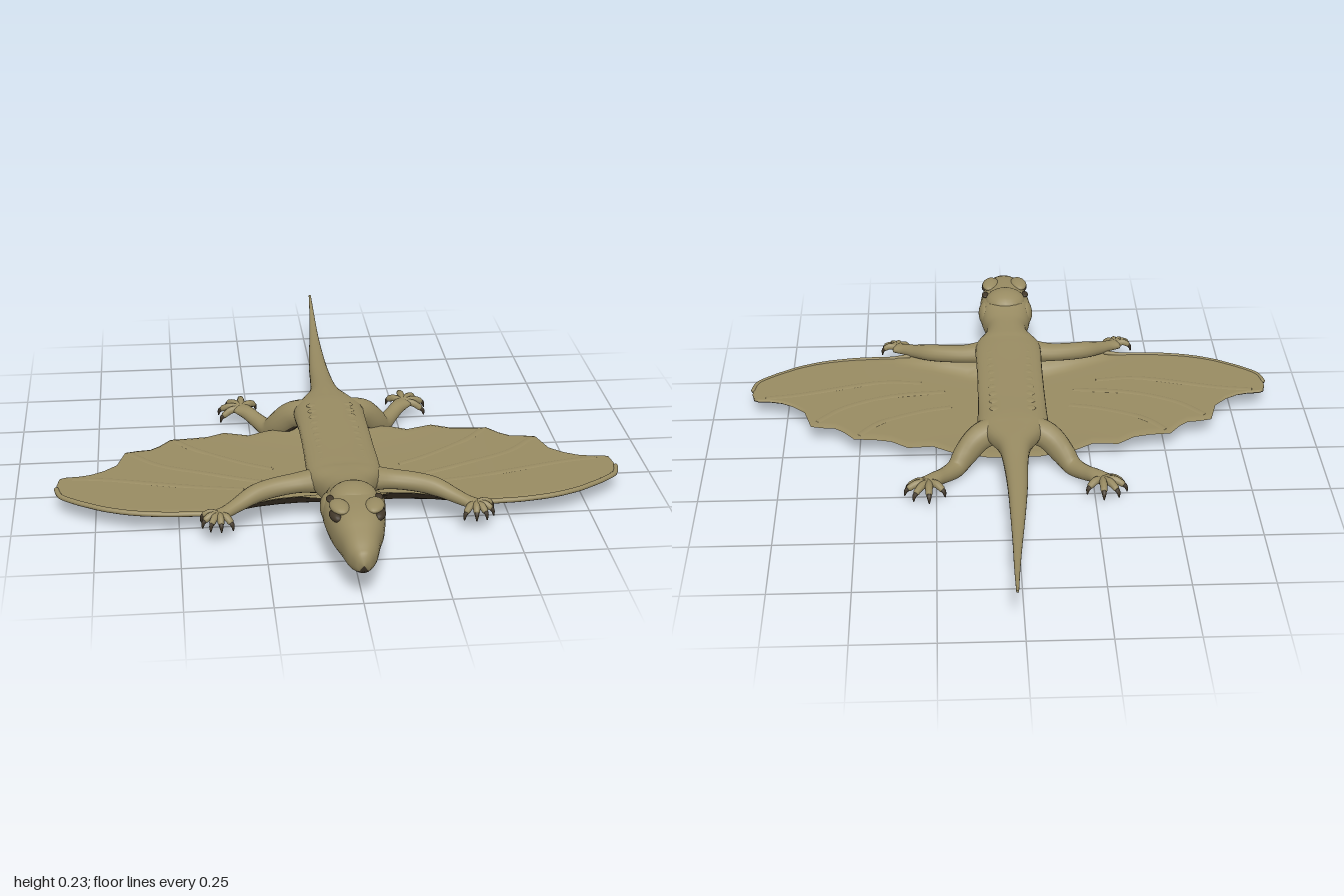
import * as THREE from 'three';

const skin = new THREE.MeshStandardMaterial({ color: 0x988b62 });
skin.name = 'olive skin';
const dark = new THREE.MeshStandardMaterial({ color: 0x42382a });
dark.name = 'dark brown underside';

// Geometry with two material groups: upper skin and dark underside
function build(pos, upper, under) {
  const g = new THREE.BufferGeometry();
  g.setAttribute('position', new THREE.Float32BufferAttribute(pos, 3));
  g.setIndex([...upper, ...under]);
  g.addGroup(0, upper.length, 0);
  g.addGroup(upper.length, under.length, 1);
  g.computeVertexNormals();
  return g;
}

// Smooth tube through sections [x, y, z, halfWidth, halfHeight]; power < 1 makes it boxier
function loft(sections, { steps = 4, sides = 16, power = 1 } = {}) {
  const first = sections[0], last = sections[sections.length - 1];
  const centre = new THREE.CatmullRomCurve3(sections.map(s => new THREE.Vector3(s[0], s[1], s[2])), false, 'catmullrom');
  const radius = new THREE.CatmullRomCurve3(sections.map(s => new THREE.Vector3(s[3], s[4], 0)), false, 'catmullrom');
  const n = (sections.length - 1) * steps;
  const pos = [], upper = [], under = [], up = new THREE.Vector3(0, 1, 0);
  const soft = v => Math.sign(v) * Math.pow(Math.abs(v), power);
  const ring = (c, t, rx, ry) => {
    const side = new THREE.Vector3().crossVectors(t, up).normalize();
    const top = new THREE.Vector3().crossVectors(side, t);
    for (let j = 0; j < sides; j++) {
      const a = j / sides * Math.PI * 2;
      const p = c.clone().addScaledVector(side, rx * soft(Math.cos(a))).addScaledVector(top, ry * soft(Math.sin(a)));
      pos.push(p.x, p.y, p.z);
    }
  };
  // rounded ends
  const cap = (u, s, dir) => [0, 0.7].map(k => {
    const t = centre.getTangent(u);
    return [centre.getPoint(u).addScaledVector(t, dir * Math.min(s[3], s[4]) * (k ? 0.35 : 0.55)), t, s[3] * k, s[4] * k];
  });
  cap(0, first, -1).forEach(r => ring(...r));
  for (let i = 0; i <= n; i++) {
    const r = radius.getPoint(i / n);
    ring(centre.getPoint(i / n), centre.getTangent(i / n), Math.max(r.x, 0.001), Math.max(r.y, 0.001));
  }
  cap(1, last, 1).reverse().forEach(r => ring(...r));
  for (let i = 0; i < n + 4; i++) for (let j = 0; j < sides; j++) {
    const a = i * sides + j, b = i * sides + (j + 1) % sides;
    const list = Math.sin((j + 0.5) / sides * Math.PI * 2) < -0.72 ? under : upper;
    list.push(a, a + sides, b, b, a + sides, b + sides);
  }
  return build(pos, upper, under);
}

// Wing membrane height: flat outside, sagging to a shallow keel, rising to the arms in front
function wingY(x, z) {
  const ax = Math.abs(x);
  const sag = Math.max(0, 1 - ax / 0.42) * Math.max(0, 1 - Math.pow(Math.abs(z - 0.24) / 0.42, 4));
  const armZ = 0.445 + 0.08 * Math.pow(ax / 0.33, 2);
  const rise = Math.max(0, 1 - Math.pow(ax / 0.42, 4)) * THREE.MathUtils.smoothstep(z, armZ - 0.03, armZ + 0.035);
  return 0.073 - 0.036 * sag + 0.042 * rise;
}

// [x, trailing z, leading z] of one wing
const WING = [
  [0, -0.09, 0.5], [0.08, -0.1, 0.5], [0.14, -0.085, 0.49], [0.2, -0.07, 0.505], [0.26, -0.035, 0.522], [0.34, -0.05, 0.54],
  [0.395, -0.015, 0.543], [0.45, -0.005, 0.54], [0.515, 0, 0.537], [0.55, 0.045, 0.533], [0.58, 0.07, 0.528], [0.62, 0.075, 0.52],
  [0.66, 0.085, 0.508], [0.685, 0.175, 0.498], [0.725, 0.215, 0.48], [0.765, 0.24, 0.455], [0.8, 0.25, 0.432],
  [0.845, 0.255, 0.395], [0.86, 0.265, 0.37], [0.868, 0.3, 0.335],
];

function wingGeometry() {
  const cols = [...WING.slice(1).reverse().map(([x, t, l]) => [-x, t, l]), ...WING];
  const rows = 32, w = rows + 1, pos = [], upper = [], under = [];
  for (const face of [1, -1]) {
    const base = pos.length / 3;
    cols.forEach(([x, t, l], k) => {
      for (let r = 0; r <= rows; r++) {
        const z = t + (l - t) * r / rows;
        const edge = r === 0 || r === rows || k === 0 || k === cols.length - 1;
        pos.push(x, wingY(x, z) + (edge ? 0 : face * 0.005), z);
        if (r === rows || k === cols.length - 1) continue;
        const a = base + k * w + r, b = a + 1, d = a + w, e = d + 1;
        if (face > 0) upper.push(a, b, d, b, e, d);
        else under.push(a, d, b, b, d, e);
      }
    });
  }
  return build(pos, upper, under);
}

export function createModel() {
  const model = new THREE.Group();
  const add = (name, geometry, material = [skin, dark]) => {
    const m = new THREE.Mesh(geometry, material);
    m.name = name;
    model.add(m);
    return m;
  };
  const blob = (name, x, y, z, rx, ry, rz, turn = 0, material = skin) => {
    const m = add(name, new THREE.SphereGeometry(1, 20, 14), material);
    m.position.set(x, y, z);
    m.scale.set(rx, ry, rz);
    m.rotation.y = turn;
  };

  // Head, neck, trunk and tail: [z, centre x, bottom, top, half width]
  const spine = [
    [0.985, 0, 0.095, 0.16, 0.025], [0.95, 0, 0.082, 0.18, 0.044], [0.9, 0, 0.076, 0.203, 0.058], [0.85, 0, 0.074, 0.222, 0.074],
    [0.78, 0, 0.075, 0.228, 0.086], [0.71, 0, 0.076, 0.228, 0.09], [0.65, 0, 0.078, 0.21, 0.082], [0.6, 0, 0.075, 0.2, 0.07],
    [0.54, 0, 0.078, 0.196, 0.08], [0.48, 0, 0.092, 0.194, 0.108], [0.42, 0, 0.12, 0.19, 0.112], [0.3, 0, 0.127, 0.187, 0.11],
    [0.15, 0, 0.123, 0.185, 0.11], [0.05, 0, 0.1, 0.184, 0.112], [-0.04, 0, 0.085, 0.183, 0.112], [-0.1, 0, 0.09, 0.18, 0.085],
    [-0.17, 0, 0.095, 0.176, 0.051], [-0.27, 0, 0.1, 0.168, 0.038], [-0.4, 0, 0.106, 0.161, 0.031], [-0.55, 0.005, 0.115, 0.154, 0.023],
    [-0.7, 0.012, 0.127, 0.153, 0.015], [-0.85, 0.019, 0.146, 0.163, 0.009], [-0.998, 0.024, 0.177, 0.184, 0.004],
  ];
  add('bodyHeadAndTail', loft(spine.map(([z, x, b, t, w]) => [x, (b + t) / 2, z, w, (t - b) / 2]), { sides: 28, power: 0.85 }));
  blob('crown', 0, 0.2, 0.715, 0.07, 0.042, 0.068);

  // Low ridges along the back
  for (let i = 0; i < 10; i++) for (const s of [-1, 1])
    blob('backRidge', s * 0.055, 0.181 - i * 0.0005, 0.42 - i * 0.046, 0.02, 0.005, 0.017);

  add('wingMembrane', wingGeometry());
  const ribs = [
    [[0.3, 0.37], [0.45, 0.36], [0.7, 0.29], [0.82, 0.27]],
    [[0.22, 0.32], [0.4, 0.27], [0.55, 0.2], [0.64, 0.11]],
    [[0.2, 0.22], [0.3, 0.18], [0.43, 0.1], [0.5, 0.02]],
  ];

  for (const s of [-1, 1]) {
    const side = s > 0 ? 'left' : 'right';
    const limb = (name, pts, opt, material) => add(side + name, loft(pts.map(([x, y, z, a, b = a]) => [s * x, y, z, a, b]), opt), material);

    // Thickened leading rim and soft ribs of the wing
    limb('WingRim', WING.slice(5).map(([x, , z]) => [x, wingY(x, z), z - 0.006, 0.008]), { sides: 10 });
    for (const rib of ribs)
      limb('WingRib', rib.map(([x, z]) => [x, wingY(x, z) + 0.003, z, 0.013, 0.0035]), { sides: 12 });

    // Eye under a brow ridge, ear opening and cheek
    blob(side + 'Eye', s * 0.062, 0.2, 0.832, 0.018, 0.015, 0.032, s * -0.2, dark);
    blob(side + 'Brow', s * 0.05, 0.218, 0.812, 0.028, 0.015, 0.045, s * -0.2);
    blob(side + 'Ear', s * 0.07, 0.21, 0.745, 0.012, 0.007, 0.02, 0, dark);
    blob(side + 'Cheek', s * 0.068, 0.16, 0.7, 0.027, 0.042, 0.055);

    // Digit from the palm to its tip, ending in a dark claw
    const digit = (name, [px, py, pz], [x, y, z], r) => {
      const dx = (x - px) * 0.12, dz = (z - pz) * 0.12;
      limb(name, [[px, py, pz, r], [(x + px) / 2, (y + py) / 2 + 0.014, (z + pz) / 2, r * 0.95], [x - dx, y + 0.012, z - dz, r * 0.8]], { sides: 8 });
      limb(name + 'Claw', [[x - dx, y + 0.011, z - dz, r * 0.65], [x, y + 0.004, z, r * 0.5], [x + dx / 2, y - 0.012, z + dz / 2, 0.002]], { sides: 8 }, dark);
    };

    // Front leg and fingers
    limb('FrontLeg', [[0.07, 0.135, 0.465, 0.045, 0.04], [0.14, 0.128, 0.464, 0.037, 0.03], [0.21, 0.122, 0.477, 0.032, 0.029],
      [0.27, 0.115, 0.5, 0.03, 0.028], [0.32, 0.102, 0.535, 0.024, 0.022], [0.355, 0.094, 0.563, 0.021, 0.018], [0.385, 0.09, 0.583, 0.026, 0.014]]);
    for (const tip of [[0.345, 0.07, 0.62], [0.378, 0.072, 0.632], [0.408, 0.073, 0.628], [0.43, 0.075, 0.607], [0.433, 0.08, 0.577]])
      digit('Finger', [0.382, 0.09, 0.582], tip, 0.012);

    // Hind leg and toes
    limb('HindLeg', [[0.05, 0.13, -0.04, 0.05, 0.045], [0.11, 0.115, -0.07, 0.042, 0.045], [0.155, 0.072, -0.098, 0.036, 0.042],
      [0.187, 0.04, -0.132, 0.03, 0.032], [0.222, 0.046, -0.182, 0.025, 0.025], [0.25, 0.058, -0.22, 0.025, 0.022], [0.275, 0.064, -0.25, 0.032, 0.015]]);
    for (const tip of [[0.225, 0.05, -0.295], [0.272, 0.055, -0.335], [0.318, 0.05, -0.315], [0.345, 0.045, -0.275], [0.34, 0.035, -0.235]])
      digit('Toe', [0.273, 0.063, -0.25], tip, 0.013);
  }
  return model;
}
